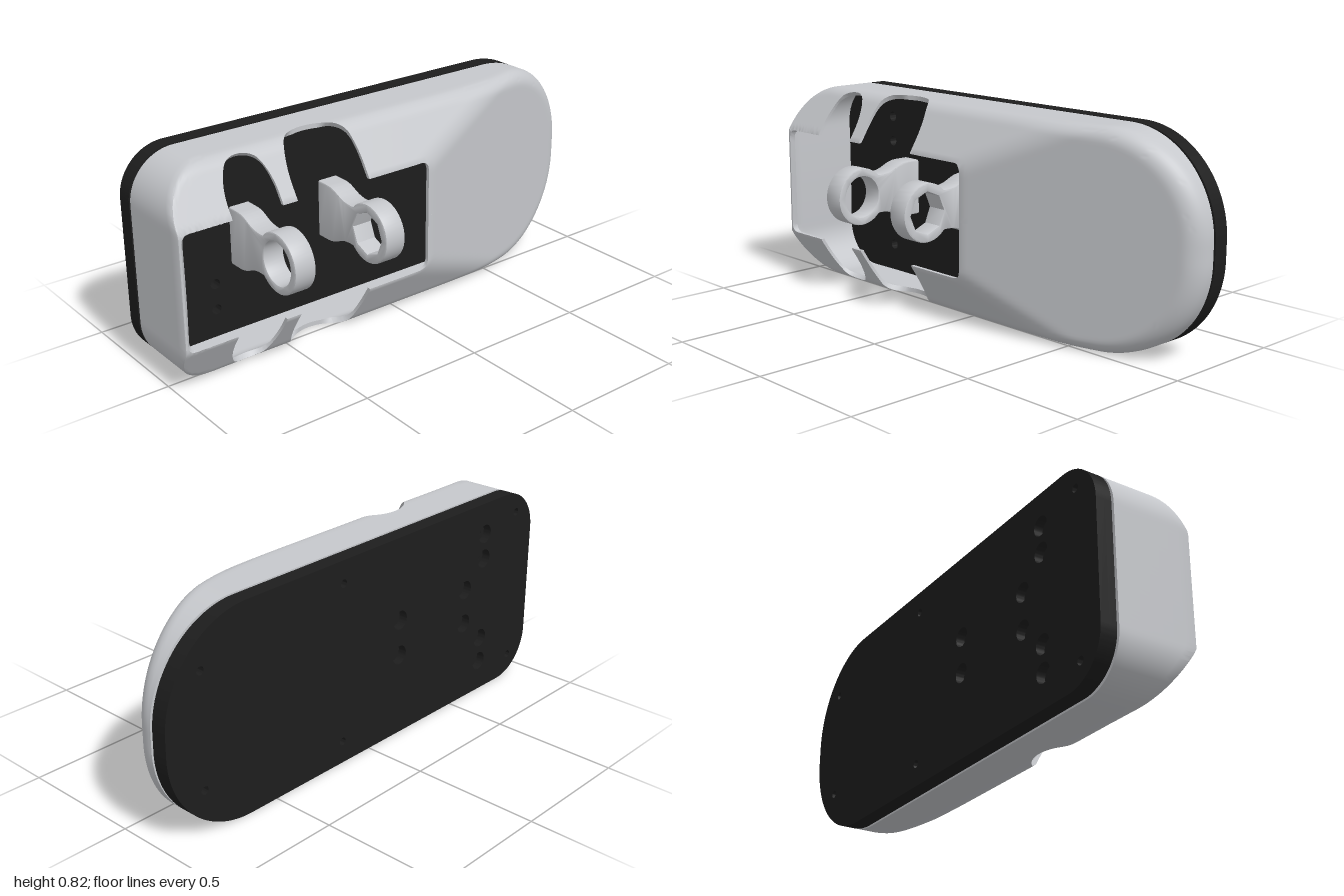
import * as THREE from 'three';
import { toCreasedNormals } from 'three/addons/utils/BufferGeometryUtils.js';

const MID = 0.41;       // centre height
const BASE = -0.172;    // where the cover meets the back plate

// Rounded outline, larger radius at the +x end
function outline(inset = 0) {
  const x = 1 - inset, lo = inset, hi = 0.82 - inset;
  const r = 0.18 - inset, R = 0.375 - inset;
  const s = new THREE.Shape();
  s.moveTo(-x + r, lo);
  s.lineTo(x - R, lo);
  s.absarc(x - R, lo + R, R, -Math.PI / 2, 0);
  s.absarc(x - R, hi - R, R, 0, Math.PI / 2);
  s.absarc(-x + r, hi - r, r, Math.PI / 2, Math.PI);
  s.absarc(-x + r, lo + r, r, Math.PI, Math.PI * 1.5);
  return s;
}

// One slab of the back plate; holes are [x, y, radius]
function slab(z0, z1, inset, holes, material, name) {
  const s = outline(inset);
  for (const [x, y, r] of holes) {
    const h = new THREE.Path();
    h.absarc(x, y, r, 0, Math.PI * 2, true);
    s.holes.push(h);
  }
  const g = new THREE.ExtrudeGeometry(s, { depth: z1 - z0, bevelEnabled: false, curveSegments: 20 });
  g.translate(0, 0, z0);
  const m = new THREE.Mesh(toCreasedNormals(g, 0.5), material);
  m.name = name;
  return m;
}

// Height of the cover: flat front, long ramp at +x, sloped long sides, filleted rim
function coverZ(x, y, d) {
  const ramp = 0.145 - (x - 0.09) * 0.262;
  const side = 0.145 - (Math.abs(y - MID) - 0.222) * 0.64;
  const k = 0.03, h = Math.max(k - Math.abs(ramp - side), 0) / k;
  const soft = Math.min(ramp, side) - h * h * k / 4;
  const R = 0.004 + 0.031 * THREE.MathUtils.smoothstep(x, -1, -0.8)
    + 0.03 * THREE.MathUtils.smoothstep(x, 0.2, 0.9);
  const e = Math.max(R - d, 0);
  return Math.min(0.145, soft) - (R - Math.sqrt(R * R - e * e));
}

// Openings: a value above zero means the cover stays
const roundedWindow = ([x, y]) => {
  const r = 0.03, qx = Math.abs(x + 0.459) - 0.531 + r, qy = Math.abs(y - MID) - 0.222 + r;
  return Math.hypot(Math.max(qx, 0), Math.max(qy, 0)) + Math.min(Math.max(qx, qy), 0) - r;
};
const notch = (xc, zc, r) => ([x, , z]) => Math.hypot(x - xc, Math.min(z - zc, 0)) - r;
const cuts = [roundedWindow, notch(-0.685, 0.123, 0.103), notch(-0.365, 0.115, 0.157)];

function clip(poly, f) {
  const out = [];
  poly.forEach((a, i) => {
    const b = poly[(i + 1) % poly.length], fa = f(a), fb = f(b);
    if (fa >= 0) out.push(a);
    if ((fa >= 0) !== (fb >= 0)) out.push(a.map((v, k) => v + (b[k] - v) * fa / (fa - fb)));
  });
  return out;
}

// Thin cover: each point holds its outer and inner position
function coverGeometry() {
  const N = 300, WALL = 7, TOP = 28;
  const pts = outline().getSpacedPoints(N).slice(0, N);
  const rings = [];
  for (let j = 0; j <= WALL + TOP; j++) {
    rings.push(pts.map(p => {
      const sx = THREE.MathUtils.clamp(p.x, -0.62, 0.6);
      const dx = sx - p.x, dy = MID - p.y, len = Math.hypot(dx, dy);
      const s = Math.pow(Math.max(0, j - WALL) / TOP, 1.6), d = s * len;
      const x = p.x + dx * s, y = p.y + dy * s;
      let z = coverZ(x, y, d);
      if (j < WALL) z = BASE + (z - BASE) * j / WALL;
      const t = 0.018 * Math.max(0, 1 - d / 0.06) / len;
      return [x, y, z, x + dx * t, y + dy * t, z - (j < WALL ? 0 : 0.015)];
    }));
  }
  const tris = [];
  const add = tri => {
    let poly = tri;
    for (const f of cuts) if (poly.length) poly = clip(poly, f);
    for (let i = 1; i + 1 < poly.length; i++) tris.push([poly[0], poly[i], poly[i + 1]]);
  };
  for (let j = 0; j < WALL + TOP; j++) {
    for (let i = 0; i < N; i++) {
      const n = (i + 1) % N;
      const a = rings[j][i], b = rings[j][n], c = rings[j + 1][n], d = rings[j + 1][i];
      add([a, b, c]);
      add([a, c, d]);
    }
  }
  const pos = [], edges = new Map();
  const outer = v => v.slice(0, 3), inner = v => v.slice(3);
  const key = v => outer(v).map(n => Math.round(n * 1e5)).join();
  for (const [a, b, c] of tris) {
    pos.push(...outer(a), ...outer(b), ...outer(c), ...inner(a), ...inner(c), ...inner(b));
    for (const [p, q] of [[a, b], [b, c], [c, a]]) {
      const kp = key(p), kq = key(q);
      if (kp === kq) continue;
      if (!edges.delete(kq + '|' + kp)) edges.set(kp + '|' + kq, [p, q]);
    }
  }
  // Close the thickness along every free edge
  for (const [p, q] of edges.values()) {
    pos.push(...outer(q), ...outer(p), ...inner(p), ...outer(q), ...inner(p), ...inner(q));
  }
  const g = new THREE.BufferGeometry();
  g.setAttribute('position', new THREE.Float32BufferAttribute(pos, 3));
  return toCreasedNormals(g, 0.6);
}

// Ring on a flared foot, extruded along x; sides sets the shape of the hole
function bracketGeometry(x0, width, sides) {
  const zc = 0.128, R = 0.117, s = new THREE.Shape();
  s.moveTo(-0.115, -0.18);
  s.lineTo(0.115, -0.18);
  s.lineTo(0.115, -0.12);
  s.bezierCurveTo(0.115, -0.05, 0.075, -0.05, 0.08, zc - 0.0854);
  s.absarc(0, zc, R, -0.818, Math.PI + 0.818);
  s.bezierCurveTo(-0.075, -0.05, -0.115, -0.05, -0.115, -0.12);
  const hole = new THREE.Path();
  for (let i = 0; i < sides; i++) {
    const a = Math.PI / 2 - i * 2 * Math.PI / sides;
    hole[i ? 'lineTo' : 'moveTo'](0.084 * Math.cos(a), zc + 0.084 * Math.sin(a));
  }
  hole.closePath();
  s.holes.push(hole);
  const g = new THREE.ExtrudeGeometry(s, {
    depth: width - 0.012, bevelEnabled: true, bevelSize: 0.006, bevelOffset: -0.006,
    bevelThickness: 0.006, bevelSegments: 2, curveSegments: 24
  });
  g.applyMatrix4(new THREE.Matrix4().makeBasis(
    new THREE.Vector3(0, 1, 0), new THREE.Vector3(0, 0, 1), new THREE.Vector3(1, 0, 0)));
  g.translate(x0 + 0.006, MID, 0);
  return toCreasedNormals(g, 0.5);
}

export function createModel() {
  const group = new THREE.Group();
  group.name = 'mountingHousing';
  const grey = new THREE.MeshStandardMaterial({ color: 0xc6c8cc });
  grey.name = 'light grey';
  const black = new THREE.MeshStandardMaterial({ color: 0x1d1d1d });
  black.name = 'black';

  // Hole positions: mounting holes, bracket screws, cover screws
  const pairs = (list, r) => list.flatMap(([x, dy]) => [[x, MID - dy, r], [x, MID + dy, r]]);
  const mounts = [[-0.685, 0.175], [-0.685, 0.28]];
  const bracketScrews = [[-0.57, 0.073], [-0.17, 0.073]];
  const coverScrews = [[-0.89, 0.32], [0.15, 0.32], [0.84, 0.225]];

  group.add(
    slab(-0.245, -0.21, 0, [...pairs([...mounts, ...bracketScrews], 0.038), ...pairs(coverScrews, 0.016)],
      black, 'backPlate'),
    slab(-0.21, -0.182, 0, pairs(mounts, 0.02), black, 'frontPlate'),
    slab(-0.182, BASE, 0.012, pairs(mounts, 0.02), black, 'plateLip'));

  const cover = new THREE.Mesh(coverGeometry(), grey);
  cover.name = 'cover';
  group.add(cover);

  // Two ring brackets standing on the plate
  [[-0.61, 0.087, 40], [-0.21, 0.087, 8]].forEach(([x, w, sides], i) => {
    const m = new THREE.Mesh(bracketGeometry(x, w, sides), grey);
    m.name = i ? 'innerRingBracket' : 'outerRingBracket';
    group.add(m);
  });
  return group;
}
